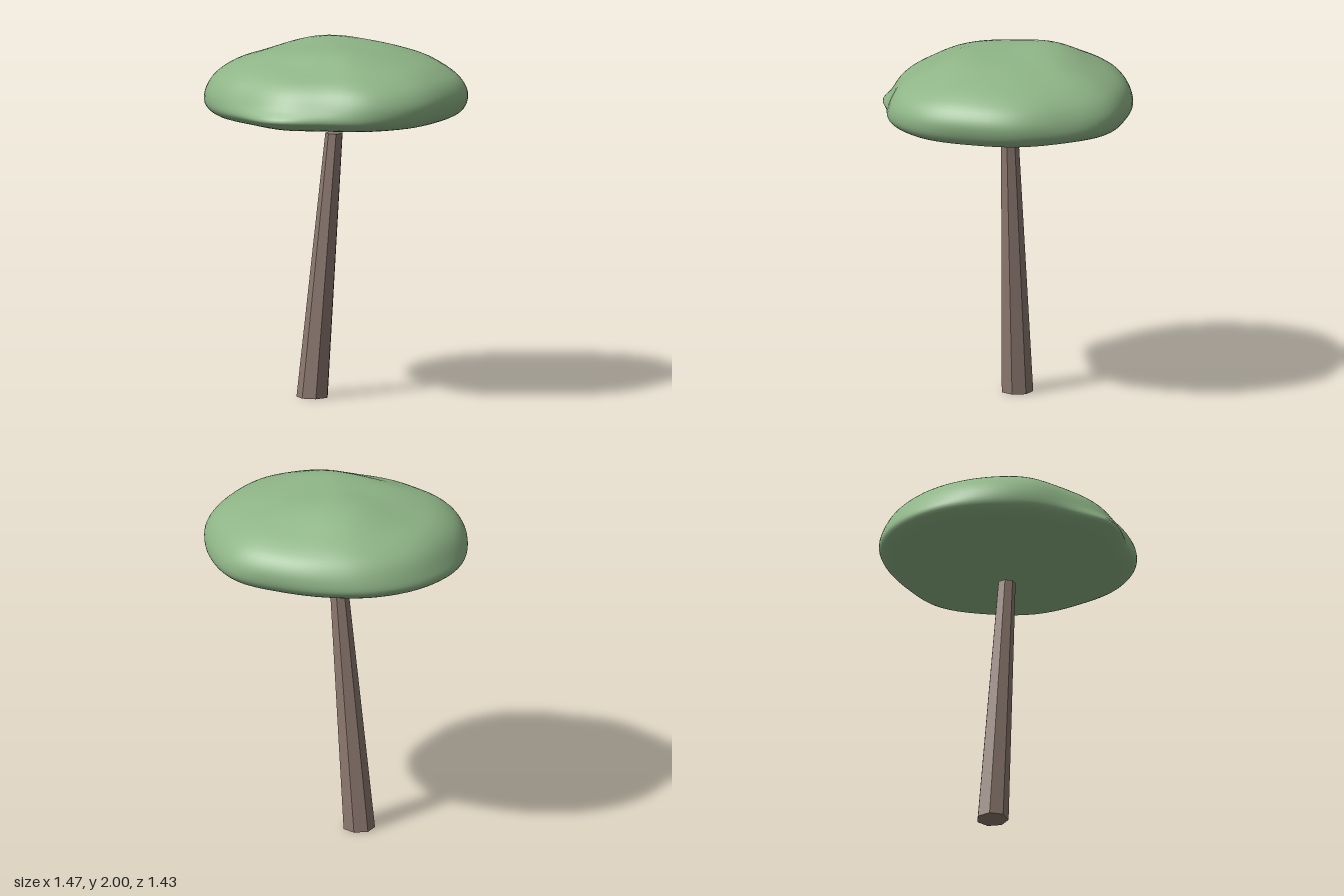
import * as THREE from 'three';

const TAU = Math.PI * 2;

// Smooth periodic lookup in a ring of evenly spaced values
function ring(values, t) {
  const n = values.length, f = t * n, i = Math.floor(f), u = f - i;
  const [a, b, c, d] = [-1, 0, 1, 2].map(k => values[(i + k + n) % n]);
  return b + 0.5 * u * (c - a + u * (2 * a - 5 * b + 4 * c - d + u * (3 * (b - c) + d - a)));
}

// Outline radius and edge fullness every 22.5 degrees, from +x towards +z
const OUTLINE = [0.735, 0.75, 0.73, 0.675, 0.71, 0.675, 0.7, 0.72, 0.74, 0.745, 0.73, 0.705, 0.71, 0.76, 0.75, 0.755];
const FULLNESS = [1, 0.9, 0.75, 0.4, 0, 0.4, 0.75, 0.7, 0.45, 0.5, 0.6, 0.7, 0.85, 0.8, 0.7, 0.9];

// Half sections [radius fraction, height]: pointed lip and rounded bulge
const LIP = [[0, 1.555], [0.45, 1.565], [0.8, 1.59], [0.95, 1.625], [1, 1.655], [0.93, 1.715],
  [0.85, 1.8], [0.75, 1.86], [0.56, 1.91], [0.35, 1.965], [0, 1.985]];
const BULGE = [[0, 1.555], [0.45, 1.565], [0.8, 1.59], [0.93, 1.615], [0.98, 1.66], [1, 1.73],
  [0.955, 1.8], [0.85, 1.86], [0.68, 1.915], [0.4, 1.97], [0, 1.985]];

function canopyGeometry(around = 80, up = 40) {
  const pos = [], index = [];
  for (let i = 0; i < around; i++) {
    const t = i / around, a = t * TAU, R = ring(OUTLINE, t), full = ring(FULLNESS, t);
    const section = new THREE.CatmullRomCurve3(LIP.map(([r, y], k) => new THREE.Vector3(
      THREE.MathUtils.lerp(r, BULGE[k][0], full), THREE.MathUtils.lerp(y, BULGE[k][1], full), 0)));
    for (let j = 0; j <= up; j++) {
      const p = section.getPoint(j / up);
      const x = p.x * R * Math.cos(a), z = p.x * R * Math.sin(a);
      // Gentle lumps on the upper side, with the crown set off-centre
      const top = THREE.MathUtils.smoothstep(p.y, 1.75, 1.95);
      const crown = 0.018 * Math.exp(-((x + 0.14) ** 2 + (z + 0.2) ** 2) / 0.07);
      const lumps = 0.008 * Math.sin(7 * x + 2 * z) * Math.sin(8 * z - 3 * x);
      pos.push(x, p.y + top * (crown + lumps), z);
    }
  }
  const at = (i, j) => (i % around) * (up + 1) + j;
  for (let i = 0; i < around; i++) for (let j = 0; j < up; j++) {
    const a = at(i, j), b = at(i + 1, j), c = at(i, j + 1), d = at(i + 1, j + 1);
    if (j > 0) index.push(a, c, b);
    if (j < up - 1 || j === 0) index.push(b, c, d);
  }
  const g = new THREE.BufferGeometry();
  g.setAttribute('position', new THREE.Float32BufferAttribute(pos, 3));
  g.setIndex(index);
  g.computeVertexNormals();
  // Poles share one vertical normal
  for (let i = 0; i < around; i++) {
    g.attributes.normal.setXYZ(at(i, 0), 0, -1, 0);
    g.attributes.normal.setXYZ(at(i, up), 0, 1, 0);
  }
  return g;
}

// Seven-sided tapered trunk, sheared so that it leans while its ends stay level
function trunkGeometry() {
  const height = 1.49;
  const g = new THREE.CylinderGeometry(0.05, 0.09, height, 7, 1, false, Math.PI / 2);
  g.translate(0, height / 2, 0);
  const p = g.attributes.position;
  for (let i = 0; i < p.count; i++) {
    p.setX(i, p.getX(i) - 0.13 + 0.135 * p.getY(i) / height);
    p.setZ(i, p.getZ(i) - 0.015);
  }
  g.computeVertexNormals();
  return g;
}

export function createModel() {
  const tree = new THREE.Group();
  tree.name = 'tree';

  const trunk = new THREE.Mesh(trunkGeometry(),
    new THREE.MeshStandardMaterial({ color: 0x8c796f, flatShading: true }));
  trunk.name = 'trunk';

  const canopy = new THREE.Mesh(canopyGeometry(), new THREE.MeshStandardMaterial({ color: 0x8fb587 }));
  canopy.name = 'canopy';

  tree.add(trunk, canopy);
  return tree;
}
